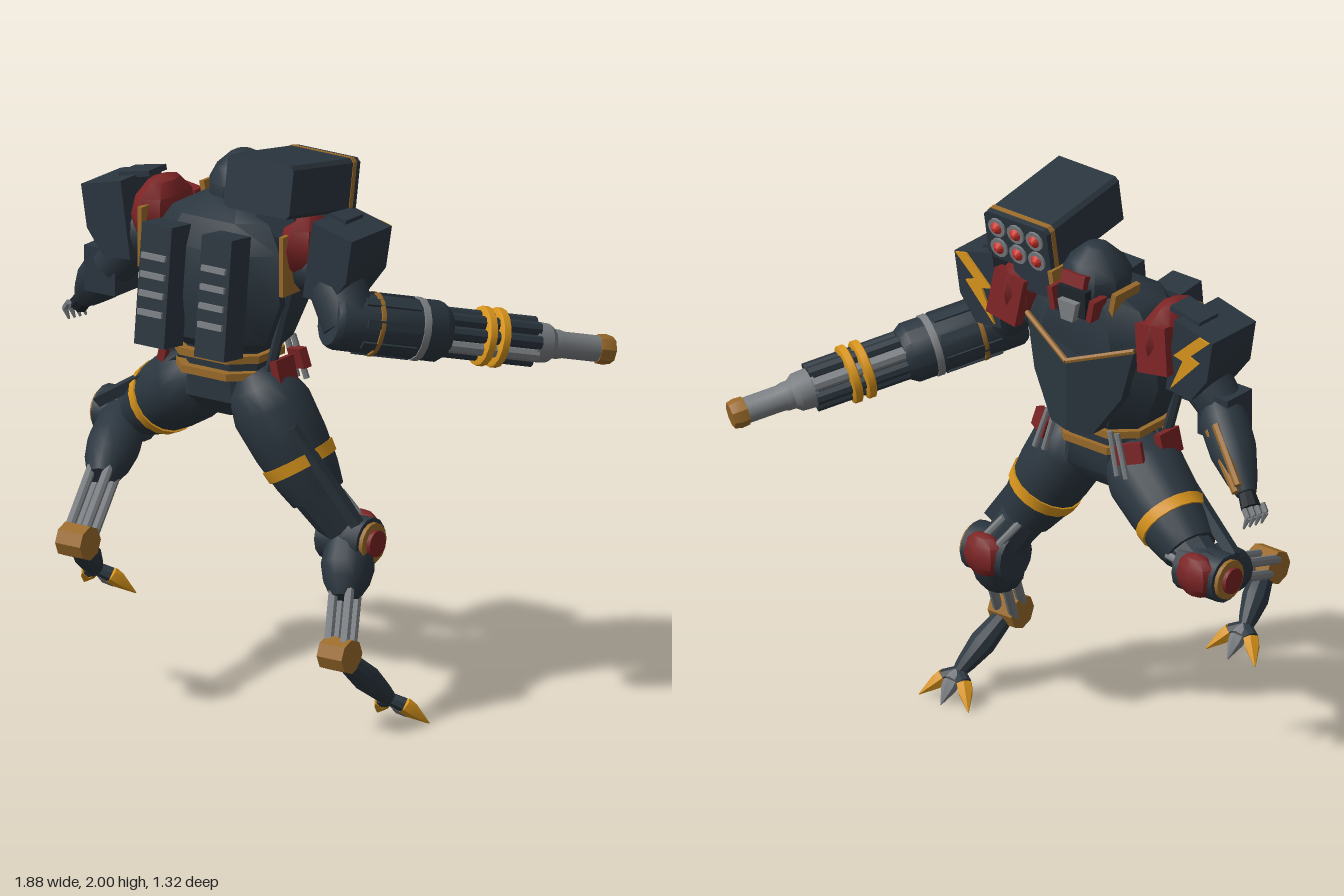
import * as THREE from 'three';
import { toCreasedNormals } from 'three/addons/utils/BufferGeometryUtils.js';

const mat = (name, color) => Object.assign(new THREE.MeshStandardMaterial({ color }), { name });
const V = (a) => new THREE.Vector3(...a);
const MID = -0.12; // body centre line

export function createModel() {
  const root = new THREE.Group();
  root.name = 'walkerRobot';
  const armour = mat('dark armour', 0x2b363f), black = mat('black joint', 0x1d242a), red = mat('red plate', 0x7c2425);
  const amber = mat('amber band', 0xd9951c), brass = mat('brass', 0x9a6a2a), steel = mat('steel', 0x7b7f83), glow = mat('bright red', 0xc8322a);

  const add = (name, geo, m, parent = root, pos = [0, 0, 0]) => {
    const mesh = new THREE.Mesh(toCreasedNormals(geo, 0.6), m);
    mesh.name = name;
    mesh.position.set(...pos);
    parent.add(mesh);
    return mesh;
  };
  const box = (name, m, size, pos, parent, rot = [0, 0, 0]) => {
    const b = add(name, new THREE.BoxGeometry(...size), m, parent, pos);
    b.rotation.set(...rot);
    return b;
  };
  // Closed lathe along local y from [height, radius] pairs
  const turn = (name, m, pts, parent, sides = 16, pos) => {
    const p = [[pts[0][0], 0], ...pts, [pts[pts.length - 1][0], 0]].map(([y, r]) => new THREE.Vector2(r, y));
    return add(name, new THREE.LatheGeometry(p, sides), m, parent, pos);
  };
  // Group whose local y runs from a towards b
  const along = (name, a, b, parent = root) => {
    const g = new THREE.Group(), d = V(b).sub(V(a));
    g.name = name;
    g.userData.length = d.length();
    g.position.set(...a);
    g.quaternion.setFromUnitVectors(new THREE.Vector3(0, 1, 0), d.normalize());
    parent.add(g);
    return g;
  };
  // Turned part between two points, heights given as fractions
  const limb = (name, m, a, b, pts, sides = 16, parent = root) => {
    const g = along(name + 'Axis', a, b, parent);
    turn(name, m, pts.map(([t, r]) => [t * g.userData.length, r]), g, sides);
    return g;
  };
  const rod = (name, m, a, b, r, sides = 8, parent = root) => limb(name, m, a, b, [[0, r], [1, r]], sides, parent);
  // Outline in xy with a depth along z
  const slab = (pts, z0, z1) => new THREE.ExtrudeGeometry(new THREE.Shape(pts.map(([x, y]) => new THREE.Vector2(x, y))),
    { depth: z1 - z0, bevelEnabled: false }).translate(0, 0, z0);
  const prism = (name, m, pts, z0, z1, parent) => add(name, slab(pts, z0, z1), m, parent);
  // Chamfered cross-sections: [y, half width, back z, front z]
  const ring = [[.55, 1], [1, .5], [1, -.5], [.55, -1], [-.55, -1], [-1, -.5], [-1, .5], [-.55, 1]];
  const loft = (name, m, rows) => {
    const pos = [], idx = [], n = 8, last = (rows.length - 1) * n;
    rows.forEach(([y, w, z0, z1]) => ring.forEach(([u, v]) => pos.push(MID + u * w, y, (z0 + z1) / 2 + v * (z1 - z0) / 2)));
    for (let r = 0; r < rows.length - 1; r++) for (let i = 0; i < n; i++) {
      const a = r * n + i, b = r * n + (i + 1) % n;
      idx.push(a, b, a + n, b + n, a + n, b);
    }
    for (let i = 1; i < n - 1; i++) idx.push(0, i + 1, i, last, last + i, last + i + 1);
    const g = new THREE.BufferGeometry();
    g.setAttribute('position', new THREE.Float32BufferAttribute(pos, 3));
    g.setIndex(idx);
    return add(name, g, m);
  };

  // Torso, pelvis and belly bands
  loft('pelvis', armour, [[1.02, .09, .07, .22], [1.08, .17, .03, .27], [1.16, .15, .03, .27], [1.28, .16, .03, .28]]);
  loft('chest', armour, [[1.262, .17, .02, .28], [1.3, .21, 0, .32], [1.45, .275, -.02, .34], [1.62, .265, -.035, .32], [1.72, .2, -.015, .28], [1.77, .11, 0, .2]]);
  for (const [y, w, z] of [[1.18, .17, .305], [1.242, .18, .31]]) loft('bellyBand', brass, [[y - .013, w, .012, z], [y + .013, w, .012, z]]);
  const prow = (dx) => -.088 + dx * .33; // breast plates sweep back from the middle
  for (const s of [-1, 1]) {
    const plate = slab([[0, 1.53], [.235, 1.61], [.19, 1.42], [.09, 1.27], [0, 1.27]].map(([x, y]) => [MID + s * x, y]), -.088, .1);
    const p = plate.attributes.position;
    for (let i = 0; i < p.count; i++) if (p.getZ(i) < 0) p.setZ(i, prow(Math.abs(p.getX(i) - MID)));
    add('breastPlate', plate, armour);
    rod('breastTrim', brass, [MID, 1.53, prow(0)], [MID + s * .235, 1.61, prow(.235)], .01, 6);
    rod('flankRib', armour, [MID + s * .285, 1.5, .2], [MID + s * .2, 1.2, .2], .018, 6);
    // Back panels with vents
    const panel = new THREE.Group();
    panel.name = 'backPanel';
    panel.position.set(MID + s * .125, 1.49, .37);
    panel.rotation.x = -.11;
    root.add(panel);
    box('panelBody', armour, [.125, .42, .11], [0, 0, 0], panel);
    for (let i = 0; i < 4; i++) box('vent', steel, [.1, .02, .03], [0, .1 - i * .065, .052], panel);
    // Hip plates and hoses
    box('hipPlate', red, [.03, .085, .1], [MID + s * .235, 1.2, .17], root, [0, 0, s * .25]);
    box('frontHipPlate', red, [.09, .07, .03], [MID + s * .19, 1.2, .02], root, [.2, s * -.4, s * .3]);
    for (let i = 0; i < 2; i++) rod('hipHose', steel, [MID + s * (.12 + i * .03), 1.27, .0], [MID + s * (.16 + i * .04), 1.12, -.01], .011);
    box('collar', brass, [.02, .11, .13], [MID + s * .13, 1.735, .06], root, [0, 0, s * -.2]);
  }

  // Head
  turn('helmet', armour, [[1.66, .1], [1.76, .122], [1.81, .122], [1.86, .095], [1.905, .045], [1.912, .03]], root, 10, [MID, 0, .075]);
  box('browCrest', red, [.1, .045, .05], [MID, 1.815, -.03], root, [.3, 0, 0]);
  box('visor', glow, [.1, .018, .03], [MID, 1.778, -.04]);
  box('face', black, [.12, .1, .06], [MID, 1.74, -.03]);
  prism('jaw', steel, [[MID - .04, 1.75], [MID - .025, 1.68], [MID + .025, 1.68], [MID + .04, 1.75]], -.085, -.03);
  for (const s of [-1, 1]) box('cheekGuard', red, [.022, .08, .07], [MID + s * .085, 1.73, -.03], root, [0, 0, s * -.2]);

  // Shoulders
  for (const s of [-1, 1]) {
    const X = (x) => -.115 + s * x;
    const outline = (pts) => pts.map(([x, y]) => [X(x), y]);
    prism('pauldron', armour, outline([[.565, 1.73], [.4, 1.77], [.36, 1.5], [.47, 1.49], [.54, 1.58]]), .01, .24);
    prism('pauldronBolt', amber, outline([[.51, 1.74], [.4, 1.64], [.44, 1.63], [.385, 1.51], [.51, 1.64], [.47, 1.655], [.555, 1.73]]), .002, .01);
    box('pauldronFin', armour, [.13, .02, .1], [X(.41), 1.77, .1], root, [0, 0, s * -.2]);
    add('shoulderCap', new THREE.SphereGeometry(1, 8, 6).scale(.085, .13, .15), red, root, [X(.31), 1.655, .115]);
    box('shoulderStripe', brass, [.018, .21, .15], [X(.295), 1.6, .2]);
    box('shoulderGuard', red, [.13, .17, .04], [X(.32), 1.64, .0], root, [.1, 0, s * .15]);
    rod('shoulderJoint', armour, [X(.18), 1.59, .13], [X(.45), 1.57, .13], .095, 12);
  }

  // Missile launcher
  const pod = new THREE.Group();
  pod.name = 'missilePod';
  pod.position.set(.165, 1.878, .19);
  pod.rotation.x = -.165;
  root.add(pod);
  const rect = (w, h, c) => [[-w + c, -h], [w - c, -h], [w, -h + c], [w, h - c], [w - c, h], [-w + c, h], [-w, h - c], [-w, -h + c]];
  prism('podBody', armour, rect(.137, .092, .014), -.192, .195, pod);
  prism('podFrame', brass, rect(.139, .094, .014), -.17, -.15, pod);
  for (let i = 0; i < 6; i++) {
    const x = (i % 3 - 1) * .082, y = i < 3 ? -.04 : .04;
    limb('missileTube', steel, [x, y, -.15], [x, y, -.2], [[0, .036], [1, .036]], 12, pod);
    limb('missileTip', glow, [x, y, -.19], [x, y, -.215], [[0, .027], [.5, .022], [1, .008]], 10, pod);
  }
  box('podMount', armour, [.16, .12, .2], [.11, 1.74, .11]);

  // Cannon arm
  limb('cannonUpperArm', armour, [.27, 1.62, .13], [.4, 1.41, .18], [[0, .08], [.5, .1], [1, .095]]);
  const gun = along('cannon', [.37, 1.43, .2], [.9, 1.21, -.64]);
  turn('cannonHousing', armour, [[-.04, .09], [-.02, .102], [.36, .105], [.39, .085]], gun, 14);
  turn('housingStripe', brass, [[.11, .111], [.125, .111]], gun, 14);
  turn('housingBand', steel, [[.27, .109], [.295, .109]], gun, 14);
  turn('barrelCore', black, [[.36, .062], [.73, .06]], gun);
  for (let i = 0; i < 8; i++) {
    const a = i * Math.PI / 4, x = Math.cos(a), z = Math.sin(a);
    turn('barrelRail', i % 4 ? armour : steel, [[.38, .024], [.72, .024]], gun, 8, [x * .062, 0, z * .062]);
    box('housingRib', armour, [.03, .2, .03], [x * .093, .16, z * .093], gun, [0, -a, 0]);
  }
  for (const y of [.53, .58]) turn('barrelRing', amber, [[y - .017, .09], [y - .012, .102], [y + .012, .102], [y + .017, .09]], gun);
  turn('barrelNeck', steel, [[.71, .07], [.77, .066], [.79, .05]], gun);
  turn('muzzleBarrel', steel, [[.78, .05], [.81, .05], [.83, .045], [.97, .045]], gun);
  turn('muzzleTip', brass, [[.955, .05], [.985, .052], [1.01, .046]], gun, 8);

  // Hand arm
  const elbow = [-.6, 1.46, .13], wrist = [-.855, 1.235, -.02];
  limb('upperArm', armour, [-.46, 1.62, .12], [-.63, 1.43, .13], [[0, .08], [.5, .09], [1, .08]]);
  box('elbowGuard', armour, [.13, .16, .13], [-.635, 1.42, .13]);
  limb('forearm', armour, elbow, wrist, [[0, .06], [.25, .085], [.55, .082], [.85, .055], [1, .035]], 12);
  for (const k of [0, .03]) rod('forearmRail', brass, [-.66 - k, 1.4 + k, .015], [-.84 - k / 3, 1.25 + k, -.06], .014, 6);
  limb('palm', black, wrist, [-.89, 1.2, -.04], [[0, .03], [1, .035]], 8);
  for (let i = 0; i < 4; i++) {
    const z = -.075 + i * .024, x = -.89 - i * .006;
    rod('fingerBase', steel, [x, 1.21, z], [x - .022, 1.185, z - .008], .011, 6);
    limb('fingerTip', steel, [x - .022, 1.185, z - .008], [x - .01, 1.145, z - .016], [[0, .011], [1, .004]], 6);
  }

  // Legs
  const lerp = (a, b, t) => V(a).lerp(V(b), t).toArray();
  const shift = (p, x, y, z) => [p[0] + x, p[1] + y, p[2] + z];
  const buildLeg = (s, hip, thighEnd, knee, ankle, toe, strut) => {
    limb('thigh', armour, hip, thighEnd, [[-.2, .07], [-.08, .115], [.15, .14], [.5, .132], [.8, .115], [1, .095]], 18);
    limb('thighBand', amber, hip, thighEnd, [[.61, .132], [.72, .127]], 18);
    limb('kneeLink', armour, thighEnd, knee, [[-.2, .085], [1, .07]], 10);
    for (const k of [-.035, .035]) rod('kneePiston', steel, shift(thighEnd, k, 0, -.08), shift(knee, k, .03, -.06), .014);
    rod('strut', armour, ...strut, .026, 4);
    // Knee hub with side disc and front cap
    rod('kneeHub', armour, shift(knee, -s * .09, 0, 0), shift(knee, s * .085, 0, 0), .085, 14);
    rod('kneeRing', brass, shift(knee, s * .08, 0, 0), shift(knee, s * .1, 0, 0), .07, 14);
    rod('kneeDisc', red, shift(knee, s * .09, 0, 0), shift(knee, s * .115, 0, 0), .046, 14);
    add('kneeCap', new THREE.SphereGeometry(1, 8, 6).scale(.085, .08, .05), red, root, shift(knee, 0, .01, -.06));
    // Calf, shin rods and ankle
    limb('calf', armour, knee, ankle, [[-.1, .07], [.1, .084], [.25, .092], [.38, .08], [.52, .048]], 14);
    for (const [x, y] of [[-.033, .02], [.033, .02], [-.033, -.02], [.033, -.02]])
      rod('shinRod', steel, shift(lerp(knee, ankle, .35), x, y, y), shift(ankle, x, y, y), .017);
    rod('ankle', brass, shift(ankle, -.052, 0, 0), shift(ankle, .052, 0, 0), .06, 8);
    // Foot and claws
    limb('foot', armour, ankle, toe, [[0, .03], [.25, .04], [.55, .048], [.85, .035], [1, .025]], 10);
    for (const k of [-1, 0, 1]) {
      const mid = shift(toe, k * .045, -.022, -.025 - (k ? 0 : .012)), tip = shift(toe, k * .108, -.088, -.08 - (k ? 0 : .015));
      limb('toe', k ? armour : steel, toe, mid, [[0, .022], [1, .026]], 8);
      limb('claw', k ? amber : steel, mid, tip, [[0, .029], [.3, .027], [1, .002]], 6);
    }
  };
  buildLeg(-1, [-.25, 1.11, .14], [-.56, .91, .04], [-.66, .87, .01], [-.43, .605, .6], [-.485, .455, .42],
    [[-.25, 1.2, .22], [-.72, .92, .08]]);
  buildLeg(1, [.04, 1.11, .18], [.23, .77, .13], [.32, .62, .07], [.435, .285, .29], [.505, .095, .1],
    [[.2, 1.03, .24], [.4, .7, .14]]);
  return root;
}
